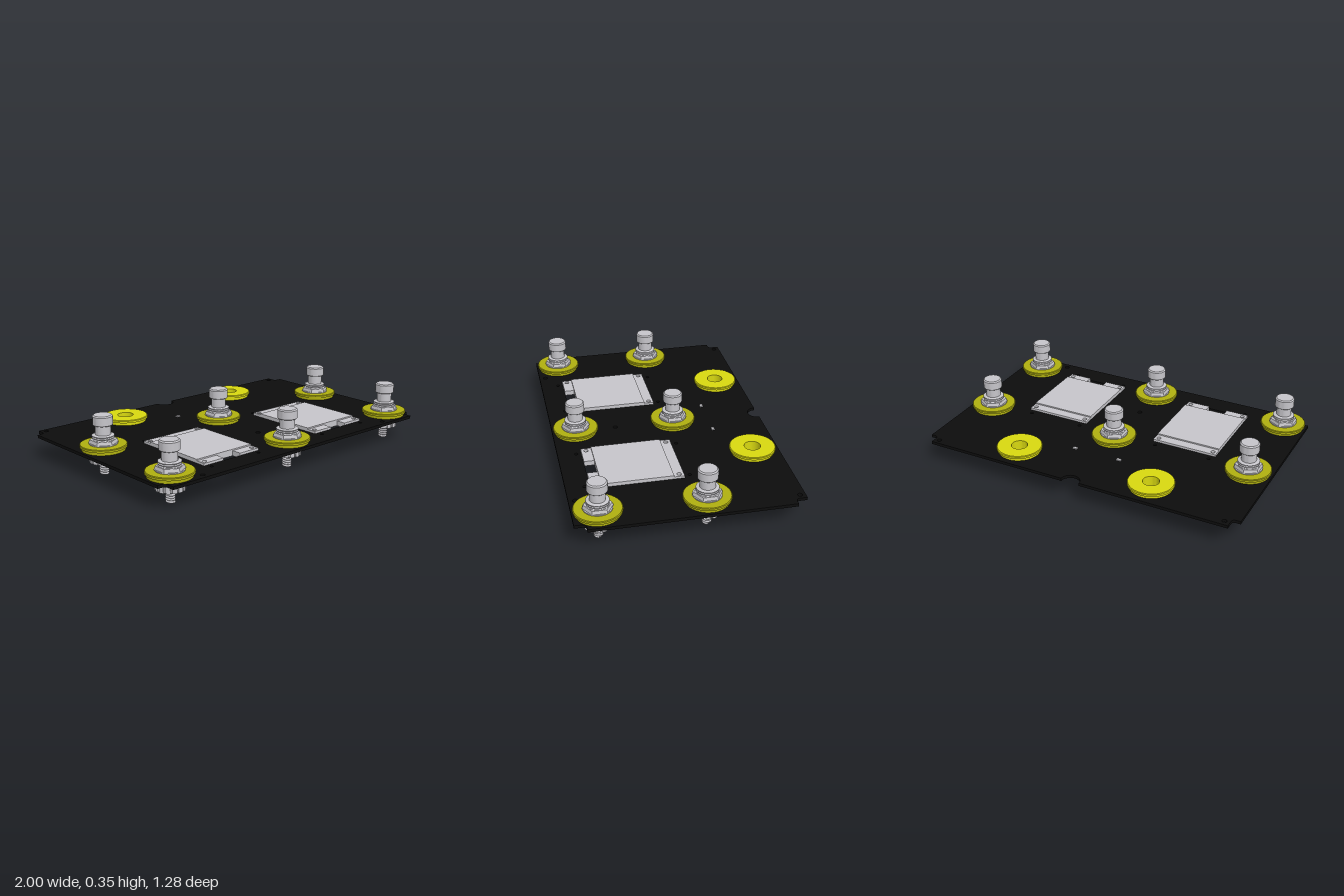
import * as THREE from 'three';
import { toCreasedNormals } from 'three/addons/utils/BufferGeometryUtils.js';

const mat = (name, color) => Object.assign(new THREE.MeshStandardMaterial({ color }), { name });
const black = mat('black board', 0x0d0d0d);
const grey = mat('light grey', 0xc6c5ca);
const yellow = mat('bright yellow', 0xd8d810);
const olive = mat('dark yellow', 0xb0b010);

const BOTTOM = 0.134, TOP = 0.152;

function add(parent, name, geo, material, x = 0, y = 0, z = 0) {
  const m = new THREE.Mesh(geo, material);
  m.name = name;
  m.position.set(x, y, z);
  parent.add(m);
  return m;
}

// Surface of revolution from [radius, y] pairs, with sharp profile corners
function lathe(points, segments = 40) {
  const g = new THREE.LatheGeometry(points.map(([r, y]) => new THREE.Vector2(r, y)), segments);
  return toCreasedNormals(g, 0.5);
}

// Horizontal slab: shape (x, z), top face at y = 0
function slab(shape, depth) {
  const g = new THREE.ExtrudeGeometry(shape, { depth, bevelEnabled: false, curveSegments: 16 });
  return g.rotateX(Math.PI / 2);
}

function circleHole(shape, x, z, r) {
  const p = new THREE.Path();
  p.absarc(x, z, r, 0, Math.PI * 2, true);
  shape.holes.push(p);
}

function rectPoints(x0, x1, z0, z1) {
  return [[x0, z0], [x0, z1], [x1, z1], [x1, z0]].map(([x, z]) => new THREE.Vector2(x, z));
}

// Zigzag profile of a screw thread
function thread(r, depth, y0, y1, turns) {
  const pts = [], step = (y1 - y0) / turns;
  for (let i = 0; i < turns; i++) {
    pts.push([r - depth, y0 + i * step], [r, y0 + (i + 0.35) * step], [r, y0 + (i + 0.65) * step]);
  }
  pts.push([r - depth, y1]);
  return pts;
}

// Board with notched corners, a rear cable notch, panel openings and screw holes
function boardGeometry() {
  const s = new THREE.Shape(), D = 0.638, X = 0.952, Z = 0.572, f = 0.025;
  s.moveTo(-X, -D);
  s.lineTo(-0.057, -D);
  s.absarc(0, -D, 0.057, Math.PI, 0, true);
  s.lineTo(X, -D);
  s.lineTo(X, -Z - f);
  s.quadraticCurveTo(X, -Z, X + f, -Z);
  s.lineTo(1, -Z);
  s.lineTo(1, Z);
  s.lineTo(X + f, Z);
  s.quadraticCurveTo(X, Z, X, Z + f);
  s.lineTo(X, D);
  s.lineTo(-X, D);
  s.lineTo(-X, Z + f);
  s.quadraticCurveTo(-X, Z, -X - f, Z);
  s.lineTo(-1, Z);
  s.lineTo(-1, -Z);
  s.lineTo(-X - f, -Z);
  s.quadraticCurveTo(-X, -Z, -X, -Z - f);
  s.closePath();
  circleHole(s, 0, 0.255, 0.014);
  for (const k of [-1, 1]) {
    circleHole(s, k * 0.92, -0.605, 0.014);
    circleHole(s, k * 0.725, 0.6, 0.014);
    circleHole(s, k * 0.43, -0.48, 0.06);
    s.holes.push(new THREE.Path(rectPoints(k * 0.43 - 0.2, k * 0.43 + 0.2, -0.03, 0.5)));
    for (const dx of [-0.172, 0.172]) for (const z of [-0.065, 0.53]) circleHole(s, k * 0.43 + dx, z, 0.01);
  }
  return slab(s, TOP - BOTTOM);
}

// Display panel: carrier with corner holes and a front slot, raised glass
function displayPanel(x) {
  const g = new THREE.Group();
  g.name = 'displayPanel';
  const s = new THREE.Shape([[-0.2, -0.03], [0.2, -0.03], [0.2, 0.5], [0.06, 0.5], [0.06, 0.44],
    [-0.06, 0.44], [-0.06, 0.5], [-0.2, 0.5]].map(([a, b]) => new THREE.Vector2(a, b)));
  for (const dx of [-0.175, 0.175]) for (const z of [-0.003, 0.472]) circleHole(s, dx, z, 0.013);
  add(g, 'panelCarrier', slab(s, 0.03), grey, 0, 0.166, 0);
  add(g, 'panelGlass', new THREE.BoxGeometry(0.4, 0.008, 0.41), grey, 0, 0.17, 0.235);
  g.position.x = x;
  return g;
}

// Flanged ring, stepped underneath the rim
const flange = (r) => [[0.125, TOP], [0.125, 0.168], [0.135, 0.17], [0.135, 0.182], [0.131, 0.186], [r, 0.186]];

class Helix extends THREE.Curve {
  getPoint(t, target = new THREE.Vector3()) {
    const a = t * Math.PI * 2 * 5.5, r = 0.021;
    return target.set(r * Math.cos(a), 0.008 + t * 0.072, r * Math.sin(a));
  }
}

// Ribbed collar below the board
function collarGeometry() {
  const pts = [], teeth = 14;
  for (let i = 0; i < teeth; i++) {
    for (const [f, r] of [[0, 0.083], [0.35, 0.084], [0.7, 0.083], [0.72, 0.075], [0.98, 0.075]]) {
      const a = (i + f) / teeth * Math.PI * 2;
      pts.push(new THREE.Vector2(r * Math.cos(a), r * Math.sin(a)));
    }
  }
  return slab(new THREE.Shape(pts), 0.054);
}

const buttonGeo = {
  ring: lathe([[0.05, TOP], ...flange(0.05)]),
  nut: new THREE.CylinderGeometry(0.078, 0.085, 0.022, 6).toNonIndexed(),
  washer: lathe([[0, 0.186], [0.082, 0.186], [0.082, 0.192], [0, 0.192]]),
  bush: lathe([...thread(0.064, 0.008, 0.205, 0.24, 3), [0, 0.24]]),
  plunger: lathe([[0.044, 0.235], [0.044, 0.295], [0.054, 0.295], [0.057, 0.298], [0.057, 0.346],
    [0.05, 0.353], [0, 0.353]]),
  collar: collarGeometry(),
  core: new THREE.CylinderGeometry(0.018, 0.018, 0.08, 16),
  spring: new THREE.TubeGeometry(new Helix(), 120, 0.007, 6),
};
buttonGeo.nut.computeVertexNormals();

// Push button with flange, nut, threaded bush, plunger and spring
function pushButton(x, z) {
  const g = new THREE.Group();
  g.name = 'pushButton';
  add(g, 'buttonRing', buttonGeo.ring, olive);
  add(g, 'washer', buttonGeo.washer, grey);
  add(g, 'hexNut', buttonGeo.nut, grey, 0, 0.2, 0);
  add(g, 'threadedBush', buttonGeo.bush, grey);
  add(g, 'plunger', buttonGeo.plunger, grey);
  add(g, 'ribbedCollar', buttonGeo.collar, grey, 0, BOTTOM, 0);
  add(g, 'springCore', buttonGeo.core, grey, 0, 0.044, 0);
  add(g, 'spring', buttonGeo.spring, grey);
  g.position.set(x, 0, z);
  return g;
}

// Open grommet with a threaded neck under the board
const grommetGeo = lathe([[0.048, 0.1], ...thread(0.068, 0.007, 0.1, TOP, 4), ...flange(0.048), [0.048, 0.1]]);

// Socket under the board: roof, slotted walls and a row of pins
function socket(x, z) {
  const g = new THREE.Group();
  g.name = 'socket';
  const box = (name, w, h, d, px, py, pz) => add(g, name, new THREE.BoxGeometry(w, h, d), grey, px, py, pz);
  box('socketRoof', 0.134, 0.03, 0.055, 0, 0.12, 0);
  box('socketBack', 0.134, 0.045, 0.009, 0, 0.084, 0.023);
  for (const k of [-1, 1]) {
    box('socketSideRear', 0.01, 0.045, 0.02, k * 0.062, 0.084, 0.0175);
    box('socketSideFront', 0.01, 0.045, 0.02, k * 0.062, 0.084, -0.0175);
    box('socketFront', 0.04, 0.045, 0.009, k * 0.047, 0.084, -0.023);
  }
  for (let i = 0; i < 4; i++) box('pin', 0.008, 0.04, 0.008, -0.039 + i * 0.026, 0.09, 0);
  g.position.set(x, 0, z);
  return g;
}

export function createModel() {
  const model = new THREE.Group();
  model.name = 'controlBoard';
  add(model, 'board', boardGeometry(), black, 0, TOP, 0);
  for (const k of [-1, 1]) {
    model.add(displayPanel(k * 0.43));
    add(model, 'grommet', grommetGeo, yellow, k * 0.43, 0, -0.48);
    add(model, 'indicator', new THREE.BoxGeometry(0.026, 0.008, 0.018), grey, k * 0.145, 0.155, -0.318);
  }
  for (const x of [-0.86, 0, 0.86]) for (const z of [-0.1, 0.497]) model.add(pushButton(x, z));
  model.add(socket(0.425, -0.167), socket(0, -0.29), socket(0, -0.388));
  return model;
}
